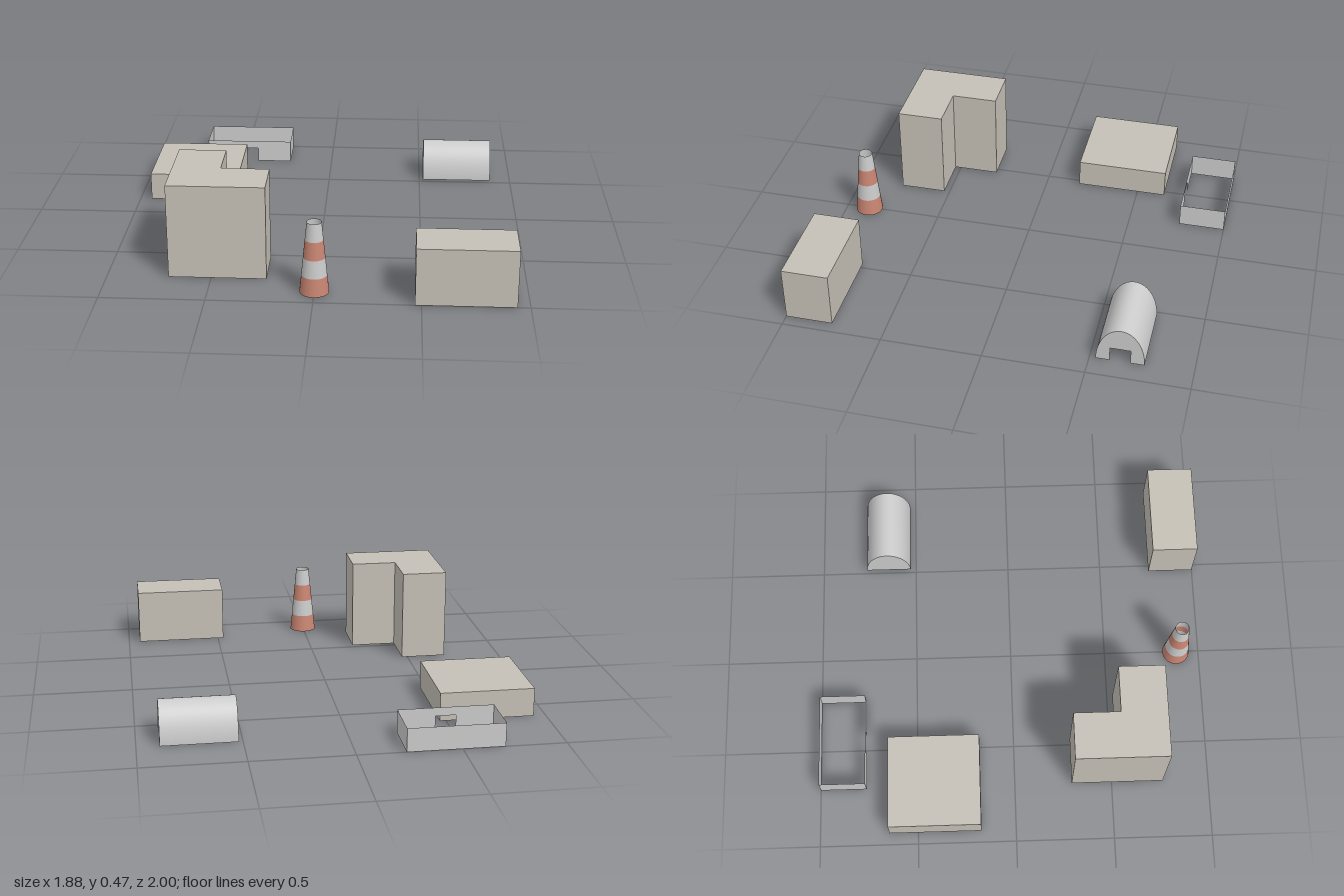
import * as THREE from 'three';
import { mergeGeometries } from 'three/addons/utils/BufferGeometryUtils.js';

const material = (color) => new THREE.MeshStandardMaterial({ color, side: THREE.DoubleSide });
const grey = material(0xcccccc);
const stone = material(0xc5c0b6);
const red = material(0xc98572);

const DOOR_WIDTH = 0.1;
const DOOR_HEIGHT = 0.075;

function addMesh(parent, name, geometry, mat) {
  const mesh = new THREE.Mesh(geometry, mat);
  mesh.name = name;
  parent.add(mesh);
  return mesh;
}

function addGroup(parent, name, x, z) {
  const group = new THREE.Group();
  group.name = name;
  group.position.set(x, 0, z);
  parent.add(group);
  return group;
}

// Thin upright wall between two [x, z] points, facing outward on a counterclockwise outline
function wall([ax, az], [bx, bz], height) {
  return new THREE.PlaneGeometry(Math.hypot(bx - ax, bz - az), height)
    .rotateY(Math.atan2(az - bz, bx - ax))
    .translate((ax + bx) / 2, height / 2, (az + bz) / 2);
}

// Hollow building block: walls and flat roof, open underneath
function hollowBlock(outline, height) {
  const walls = outline.map((p, i) => wall(p, outline[(i + 1) % outline.length], height));
  const roof = new THREE.ShapeGeometry(new THREE.Shape(outline.map(([x, z]) => new THREE.Vector2(x, -z))))
    .rotateX(-Math.PI / 2)
    .translate(0, height, 0);
  return mergeGeometries([...walls, roof]);
}

const rectangle = (x0, x1, z0, z1) => [[x0, z1], [x1, z1], [x1, z0], [x0, z0]];

// Starts a panel outline along the ground, stepping around a doorway
function groundLine(halfWidth, hasDoor) {
  const shape = new THREE.Shape().moveTo(-halfWidth, 0);
  if (hasDoor) {
    const d = DOOR_WIDTH / 2;
    shape.lineTo(-d, 0).lineTo(-d, DOOR_HEIGHT).lineTo(d, DOOR_HEIGHT).lineTo(d, 0);
  }
  return shape.lineTo(halfWidth, 0);
}

// Cone of four stacked stripes, open at both ends
function addTrafficCone(parent) {
  const cone = addGroup(parent, 'trafficCone', 0, 0.88);
  const height = 0.356, bottom = 0.07, top = 0.035, count = 4;
  const radius = (i) => bottom + (top - bottom) * i / count;
  for (let i = 0; i < count; i++) {
    const h = height / count;
    const stripe = new THREE.CylinderGeometry(radius(i + 1), radius(i), h, 32, 1, true);
    addMesh(cone, `coneStripe${i + 1}`, stripe, i % 2 ? grey : red).position.y = (i + 0.5) * h;
  }
}

// Half-elliptical vault with a doorway in one end
function addArchedHut(parent) {
  const hut = addGroup(parent, 'archedHut', 0.705, -0.647);
  const length = 0.37, a = 0.1175, h = 0.188;
  const vault = new THREE.CylinderGeometry(1, 1, length, 40, 1, true, 0, Math.PI)
    .rotateZ(Math.PI / 2)
    .scale(1, h, a);
  addMesh(hut, 'vault', vault, grey);
  for (const side of [1, -1]) {
    const shape = groundLine(a, side > 0).absellipse(0, 0, a, h, 0, Math.PI, false, 0);
    const end = new THREE.ShapeGeometry(shape, 40).rotateY(side * Math.PI / 2).translate(side * length / 2, 0, 0);
    addMesh(hut, side > 0 ? 'doorEnd' : 'closedEnd', end, grey);
  }
}

// Roofless rectangular enclosure with a doorway in the front wall
function addEnclosure(parent) {
  const pen = addGroup(parent, 'enclosure', -0.47, -0.8825);
  const hx = 0.235, hz = 0.1175, height = 0.118;
  const front = groundLine(hx, true).lineTo(hx, height).lineTo(-hx, height);
  addMesh(pen, 'doorWall', new THREE.ShapeGeometry(front).translate(0, 0, hz), grey);
  const corners = rectangle(-hx, hx, -hz, hz);
  const rest = [1, 2, 3].map((i) => wall(corners[i], corners[(i + 1) % 4], height));
  addMesh(pen, 'plainWalls', mergeGeometries(rest), grey);
}

export function createModel() {
  const model = new THREE.Group();
  model.name = 'buildingBlocks';

  addMesh(model, 'smallBlock', hollowBlock(rectangle(0.47, 0.94, 0.765, 1), 0.284), stone);
  addMesh(model, 'lowBlock', hollowBlock(rectangle(-0.94, -0.47, -0.647, -0.177), 0.143), stone);

  const corner = [[-0.705, 0.765], [-0.235, 0.765], [-0.235, 0.53], [-0.47, 0.53], [-0.47, 0.294], [-0.705, 0.294]];
  addMesh(model, 'cornerBlock', hollowBlock(corner, 0.47), stone);

  addTrafficCone(model);
  addArchedHut(model);
  addEnclosure(model);
  return model;
}
